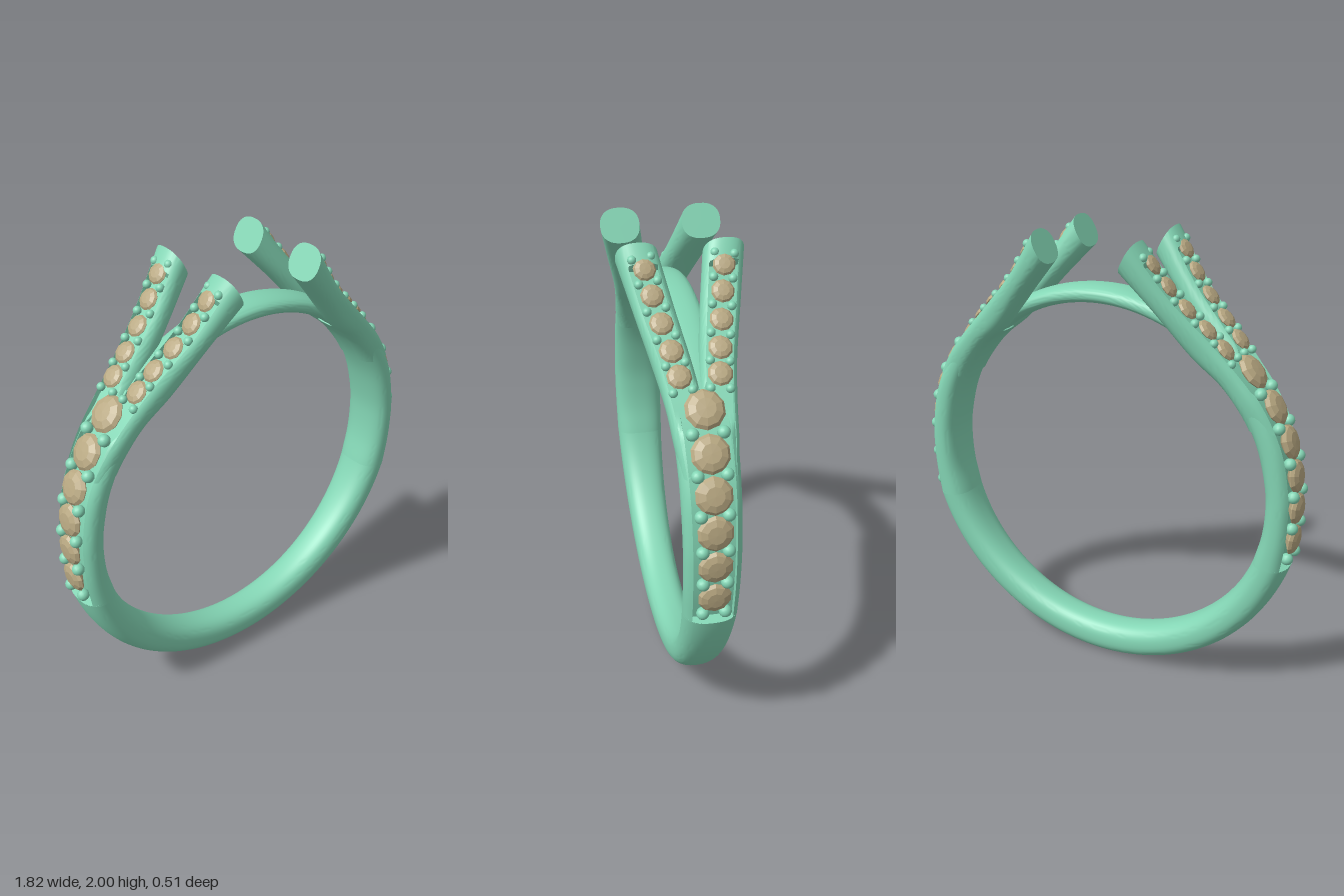
import * as THREE from 'three';
import { toCreasedNormals } from 'three/addons/utils/BufferGeometryUtils.js';

const metal = new THREE.MeshStandardMaterial({ color: 0x84d6b5 });
const stone = new THREE.MeshStandardMaterial({ color: 0xb8a882, flatShading: true });
const V = (x, y, z = 0) => new THREE.Vector3(x, y, z);
const CY = 0.918, R_IN = 0.763, FLOOR = 0.72, POWER = 2.4;
const { lerp, clamp, smoothstep } = THREE.MathUtils;

// Side of the ring, bottom to top: outer x, y, inner x, y, body half width, arm z, arm half width
const stations = [
  [0.872, 0.652, 0.720, 0.665, 0.110, 0.040, 0.060],
  [0.888, 0.780, 0.752, 0.790, 0.112, 0.040, 0.060],
  [0.893, 0.900, 0.763, 0.905, 0.114, 0.042, 0.060],
  [0.890, 1.000, 0.757, 1.015, 0.115, 0.044, 0.062],
  [0.865, 1.150, 0.725, 1.155, 0.117, 0.046, 0.063],
  [0.820, 1.270, 0.680, 1.265, 0.119, 0.048, 0.065],
  [0.750, 1.390, 0.620, 1.363, 0.122, 0.056, 0.070],
  [0.660, 1.500, 0.550, 1.447, 0.124, 0.066, 0.072],
  [0.530, 1.640, 0.440, 1.545, 0.128, 0.089, 0.075],
  [0.380, 1.795, 0.295, 1.720, 0.130, 0.130, 0.080],
  [0.230, 2.000, 0.163, 1.868, 0.130, 0.173, 0.083],
];
const spline = (f) => new THREE.CatmullRomCurve3(stations.map(f), false, 'catmullrom');
const outer = spline((s) => V(s[0], s[1]));
const inner = spline((s) => V(s[2], s[3]));
const sizes = spline((s) => V(s[4], s[5], s[6]));

// Curve parameter at which the outer line reaches height y
function paramAt(y) {
  let lo = 0, hi = 1;
  for (let i = 0; i < 30; i++) {
    const mid = (lo + hi) / 2;
    if (outer.getPoint(mid).y < y) lo = mid; else hi = mid;
  }
  return lo;
}

// Rounded section in (a across, b inner to outer), with a channel of given depth
// and rims that can sink to the channel floor on either side
function section(depth = 0, c = 0.75, rimPlus = 1, rimMinus = 1) {
  const oval = (t) => {
    const p = (v) => Math.sign(v) * Math.abs(v) ** (2 / POWER);
    return [p(Math.cos(t)), 0.5 + 0.5 * p(Math.sin(t))];
  };
  const tc = Math.acos(c ** (POWER / 2)), pts = [], N = 36, K = 9;
  for (let i = 0; i <= N; i++) {
    const [a, b] = oval(Math.PI - tc + (Math.PI + 2 * tc) * i / N);
    pts.push([a, Math.min(b, lerp(FLOOR, 1, a > 0 ? rimPlus : rimMinus))]);
  }
  for (let k = 0; k < K; k++) {
    const [a, b] = oval(tc + (Math.PI - 2 * tc) * (k + 0.5) / K);
    pts.push([lerp(a, c * 0.98 * (1 - 2 * k / (K - 1)), depth), lerp(b, FLOOR, depth)]);
  }
  return pts;
}

// Skin a run of rings { o, i, z, w, pts } and close both ends
function sweep(name, rings) {
  const pos = [], idx = [], n = rings[0].pts.length;
  for (const { o, i, z, w, pts } of rings)
    for (const [a, b] of pts) pos.push(lerp(i.x, o.x, b), lerp(i.y, o.y, b), z + a * w);
  for (let r = 0; r < rings.length - 1; r++)
    for (let j = 0; j < n; j++) {
      const p = r * n + j, q = r * n + (j + 1) % n;
      idx.push(p, q, q + n, p, q + n, p + n);
    }
  [0, rings.length - 1].forEach((r, end) => {
    const { o, i, z } = rings[r], mid = pos.length / 3;
    pos.push(lerp(i.x, o.x, 0.45), lerp(i.y, o.y, 0.45), z);
    for (let j = 0; j < n; j++) {
      const p = r * n + j, q = r * n + (j + 1) % n;
      idx.push(mid, end ? p : q, end ? q : p);
    }
  });
  const geo = new THREE.BufferGeometry();
  geo.setAttribute('position', new THREE.Float32BufferAttribute(pos, 3));
  geo.setIndex(idx);
  const mesh = new THREE.Mesh(toCreasedNormals(geo, 0.6), metal);
  mesh.name = name;
  return mesh;
}

// Arc of plain oval section around the ring centre
function arcBand(name, from, to, count, shape) {
  const rings = [];
  for (let k = 0; k <= count; k++) {
    const u = k / count, t = THREE.MathUtils.degToRad(lerp(from, to, u));
    const { ro, ri, w } = shape(Math.sin(Math.PI * u));
    const at = (r) => V(Math.cos(t) * r, CY + Math.sin(t) * r);
    rings.push({ o: at(ro), i: at(ri), z: 0, w, pts: section() });
  }
  return sweep(name, rings);
}

// Channelled band that carries the large stones
function sideBody() {
  const rings = [], end = 0.755;
  for (let k = -1; k <= 48; k++) {
    const t = k < 0 ? 0 : lerp(0.004, end, k / 48);
    const rim = 1 - smoothstep(t, 0.58, 0.68);
    rings.push({ o: outer.getPoint(t), i: inner.getPoint(t), z: 0, w: sizes.getPoint(t).x,
      pts: section(k < 0 ? 0 : 1, 0.75, rim, rim) });
  }
  return sweep('sideBody', rings);
}

// One branch of the fork, s = +1 or -1 in z
function forkArm(s) {
  const rings = [], stop = 0.965;
  const ts = Array.from({ length: 45 }, (_, k) => lerp(0.5, stop, k / 44)).concat(stop + 0.003, 0.985, 1);
  for (const t of ts) {
    const m = sizes.getPoint(t), rim = smoothstep(t, 0.7, 0.8);
    rings.push({ o: outer.getPoint(t), i: inner.getPoint(t), z: s * m.y, w: m.z,
      pts: section(t <= stop ? 1 : 0, 0.72, s > 0 ? 1 : rim, s > 0 ? rim : 1) });
  }
  return sweep('forkArm', rings);
}

const gemGeo = new THREE.LatheGeometry(
  [[0, -0.6], [0.95, -0.08], [1, 0], [0.85, 0.18], [0.5, 0.32], [0, 0.34]].map(([x, y]) => new THREE.Vector2(x, y)), 10);
const beadGeo = new THREE.SphereGeometry(1, 14, 10);

// Place a part on the outer line at height y, shifted sideways, facing outward
function setOn(group, name, geo, mat, y, s, side, size, lift) {
  const t = paramAt(y), at = (u) => {
    const p = outer.getPoint(clamp(u, 0, 1));
    p.z = s * sizes.getPoint(clamp(u, 0, 1)).y;
    return p;
  };
  const T = at(t + 0.005).sub(at(t - 0.005)).normalize();
  const N = outer.getPoint(t).sub(inner.getPoint(t));
  N.addScaledVector(T, -N.dot(T)).normalize();
  const S = T.clone().cross(N);
  const mesh = new THREE.Mesh(geo, mat);
  mesh.name = name;
  mesh.position.copy(at(t)).addScaledVector(S, side).addScaledVector(N, lift);
  mesh.quaternion.setFromRotationMatrix(new THREE.Matrix4().makeBasis(S, N, T.negate()));
  mesh.scale.setScalar(size);
  group.add(mesh);
}

function buildSide() {
  const side = new THREE.Group();
  side.name = 'ringSide';
  side.add(sideBody(), forkArm(1), forkArm(-1));
  // Large stones with bead pairs between them
  [0.78, 0.925, 1.07, 1.215, 1.355, 1.49].forEach((y, k) =>
    setOn(side, 'largeStone', gemGeo, stone, y, 0, 0, 0.068 + 0.0025 * k, -0.008));
  [0.705, 0.85, 0.995, 1.14, 1.285, 1.42].forEach((y, k) => {
    for (const e of [1, -1]) setOn(side, 'bead', beadGeo, metal, y, 0, e * (0.045 + 0.003 * k), 0.026, -0.008);
  });
  // Small stones and beads along both fork arms
  for (const s of [1, -1]) {
    [1.59, 1.665, 1.745, 1.83, 1.915].forEach((y, k) =>
      setOn(side, 'smallStone', gemGeo, stone, y, s, 0, 0.05 - 0.001 * k, -0.008));
    [1.548, 1.627, 1.705, 1.788, 1.873, 1.952].forEach((y) => {
      for (const e of [1, -1]) setOn(side, 'smallBead', beadGeo, metal, y, s, e * 0.038, 0.018, -0.01);
    });
  }
  return side;
}

export function createModel() {
  const ring = new THREE.Group();
  ring.name = 'ring';
  // Lower shank and the thin bridge between the forks
  ring.add(arcBand('shank', -163, -17, 72, (u) => ({ ro: lerp(0.911, 0.918, u), ri: R_IN, w: lerp(0.11, 0.085, u) })));
  ring.add(arcBand('bridge', 38, 142, 56, () => ({ ro: 0.843, ri: R_IN + 0.002, w: 0.085 })));
  const left = buildSide(), right = buildSide();
  right.rotation.y = Math.PI;
  ring.add(left, right);
  return ring;
}
